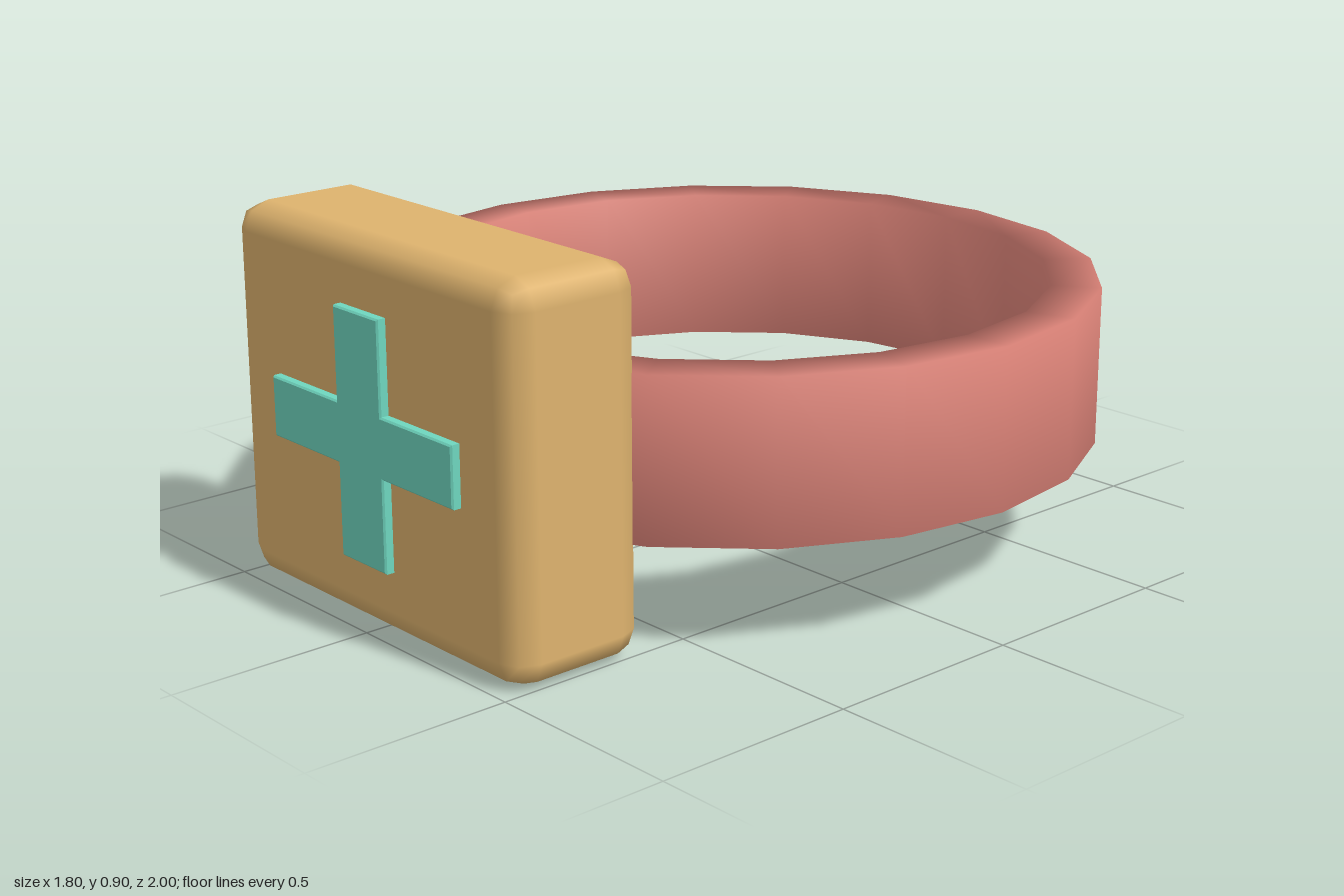
import * as THREE from 'three';
import { RoundedBoxGeometry } from 'three/addons/geometries/RoundedBoxGeometry.js';
import { mergeVertices } from 'three/addons/utils/BufferGeometryUtils.js';

function addPart(group, name, geometry, color, x, y, z) {
  const mesh = new THREE.Mesh(geometry, new THREE.MeshStandardMaterial({ color }));
  mesh.name = name;
  mesh.position.set(x, y, z);
  group.add(mesh);
  return mesh;
}

// Closed rectangular section swept round in 20 sides, welded for smooth shading
function bandGeometry(inner, outer, height) {
  const h = height / 2;
  const section = [[outer, -h], [outer, h], [inner, h], [inner, -h], [outer, -h]]
    .map(([r, y]) => new THREE.Vector2(r, y));
  const lathe = new THREE.LatheGeometry(section, 20);
  lathe.deleteAttribute('uv');
  lathe.deleteAttribute('normal');
  const welded = mergeVertices(lathe, 1e-4);
  welded.computeVertexNormals();
  return welded;
}

// Cross with half-lengths (lx, ly) and half-widths (wx, wy), slightly bevelled
function crossGeometry(lx, ly, wx, wy, depth) {
  const b = 0.004;
  const quarter = [[lx, wy], [wx, wy], [wx, ly]];
  const outline = [
    ...quarter,
    ...quarter.map(([x, y]) => [-x, y]).reverse(),
    ...quarter.map(([x, y]) => [-x, -y]),
    ...quarter.map(([x, y]) => [x, -y]).reverse(),
  ].map(([x, y]) => new THREE.Vector2(x, y));
  return new THREE.ExtrudeGeometry(new THREE.Shape(outline), {
    depth: depth - 2 * b, bevelThickness: b, bevelSize: b, bevelOffset: -b, bevelSegments: 1,
  }).translate(0, 0, b);
}

export function createModel() {
  const model = new THREE.Group();
  model.name = 'crossRing';

  // Band, its front run hidden inside the plate
  addPart(model, 'band', bandGeometry(0.78, 0.9, 0.387), 0xdf857a, 0, 0.453, -0.1);

  // Bevelled plate at the front
  addPart(model, 'plate', new RoundedBoxGeometry(1.034, 0.9, 0.355, 1, 0.065), 0xdeb36e, 0, 0.45, 0.8);

  // Raised cross on the plate
  addPart(model, 'cross', crossGeometry(0.335, 0.291, 0.083, 0.072, 0.06), 0x6fd6bf, 0, 0.453, 0.94);

  return model;
}
